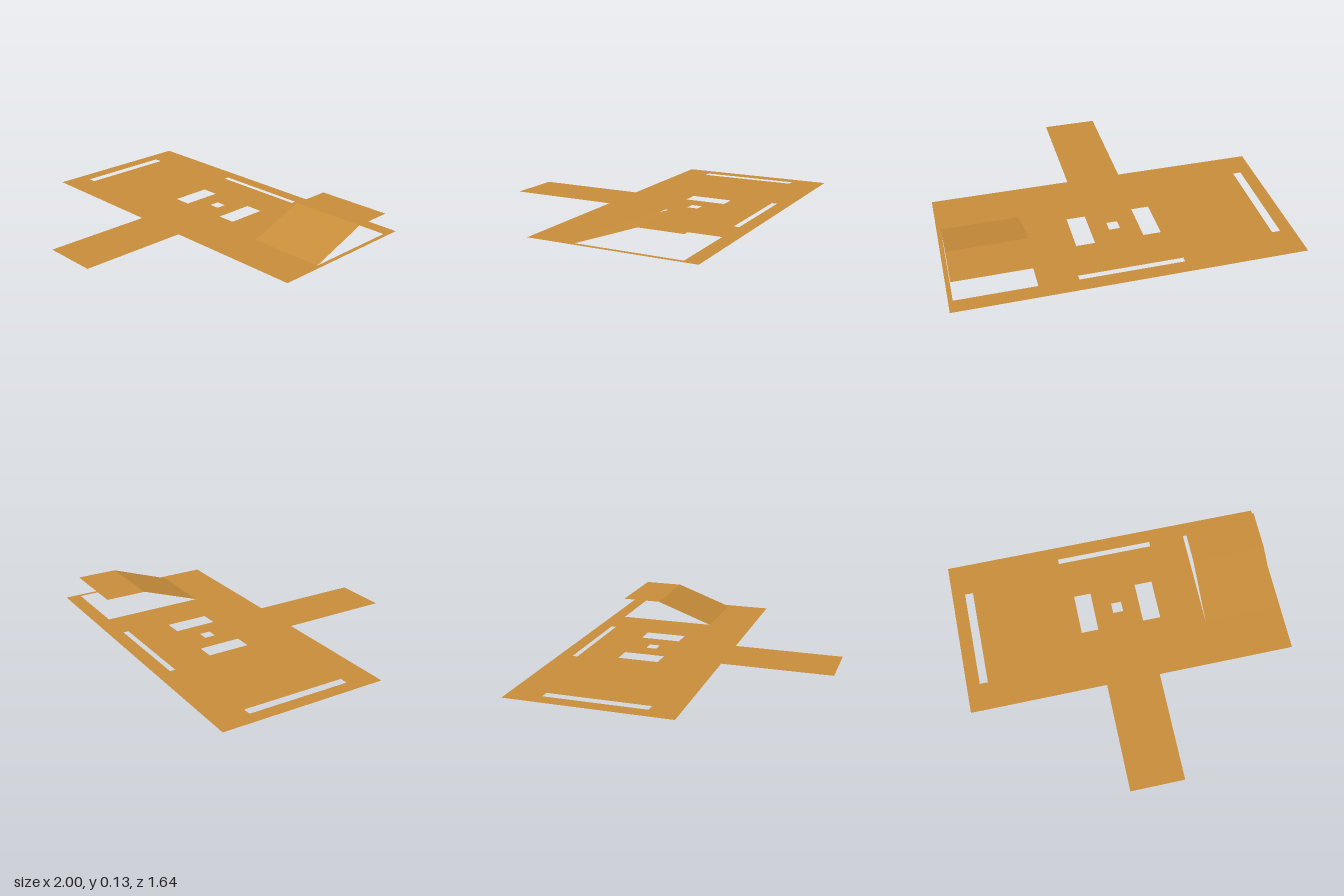
import * as THREE from 'three';

const material = new THREE.MeshStandardMaterial({
  color: 0xc68c39, side: THREE.DoubleSide, flatShading: true,
});

// Rectangular hole given by x and z limits (shape y is -z)
function rectHole(x0, x1, z0, z1) {
  return new THREE.Path([
    new THREE.Vector2(x0, -z0), new THREE.Vector2(x1, -z0),
    new THREE.Vector2(x1, -z1), new THREE.Vector2(x0, -z1),
  ]);
}

// Flat sheet: wide panel with a tongue at the front
function makeSheet() {
  const outline = [
    [-1, -0.82], [-1, 0.155], [-0.165, 0.155], [-0.165, 0.82],
    [0.163, 0.82], [0.163, 0.155], [1, 0.155], [1, -0.82],
  ];
  const shape = new THREE.Shape(outline.map(([x, z]) => new THREE.Vector2(x, -z)));
  shape.holes.push(
    rectHole(-0.92, -0.87, -0.62, -0.015),   // side slot
    rectHole(-0.302, 0.297, -0.737, -0.705), // back slot
    rectHole(-0.25, -0.145, -0.46, -0.21),   // windows
    rectHole(0.14, 0.25, -0.46, -0.21),
    rectHole(-0.032, 0.032, -0.365, -0.30),  // centre hole
    rectHole(0.52, 0.975, -0.732, -0.12),    // opening under the flap
  );
  const mesh = new THREE.Mesh(new THREE.ShapeGeometry(shape).rotateX(-Math.PI / 2), material);
  mesh.name = 'sheet';
  return mesh;
}

// Flap: slopes up from the front edge of its opening, then runs level to the back
function makeFlap() {
  const profile = [[0.13, -0.732], [0.13, -0.483], [0, -0.12]]; // y, z from back to front
  const geometry = new THREE.PlaneGeometry(0.455, 1, 1, 2);
  const pos = geometry.attributes.position;
  for (let i = 0; i < pos.count; i++) {
    const [y, z] = profile[Math.floor(i / 2)];
    pos.setXYZ(i, pos.getX(i) + 0.7475, y, z);
  }
  const creased = geometry.toNonIndexed();
  creased.computeVertexNormals();
  const mesh = new THREE.Mesh(creased, material);
  mesh.name = 'flap';
  return mesh;
}

export function createModel() {
  const group = new THREE.Group();
  group.name = 'cutSheet';
  group.add(makeSheet(), makeFlap());
  return group;
}
